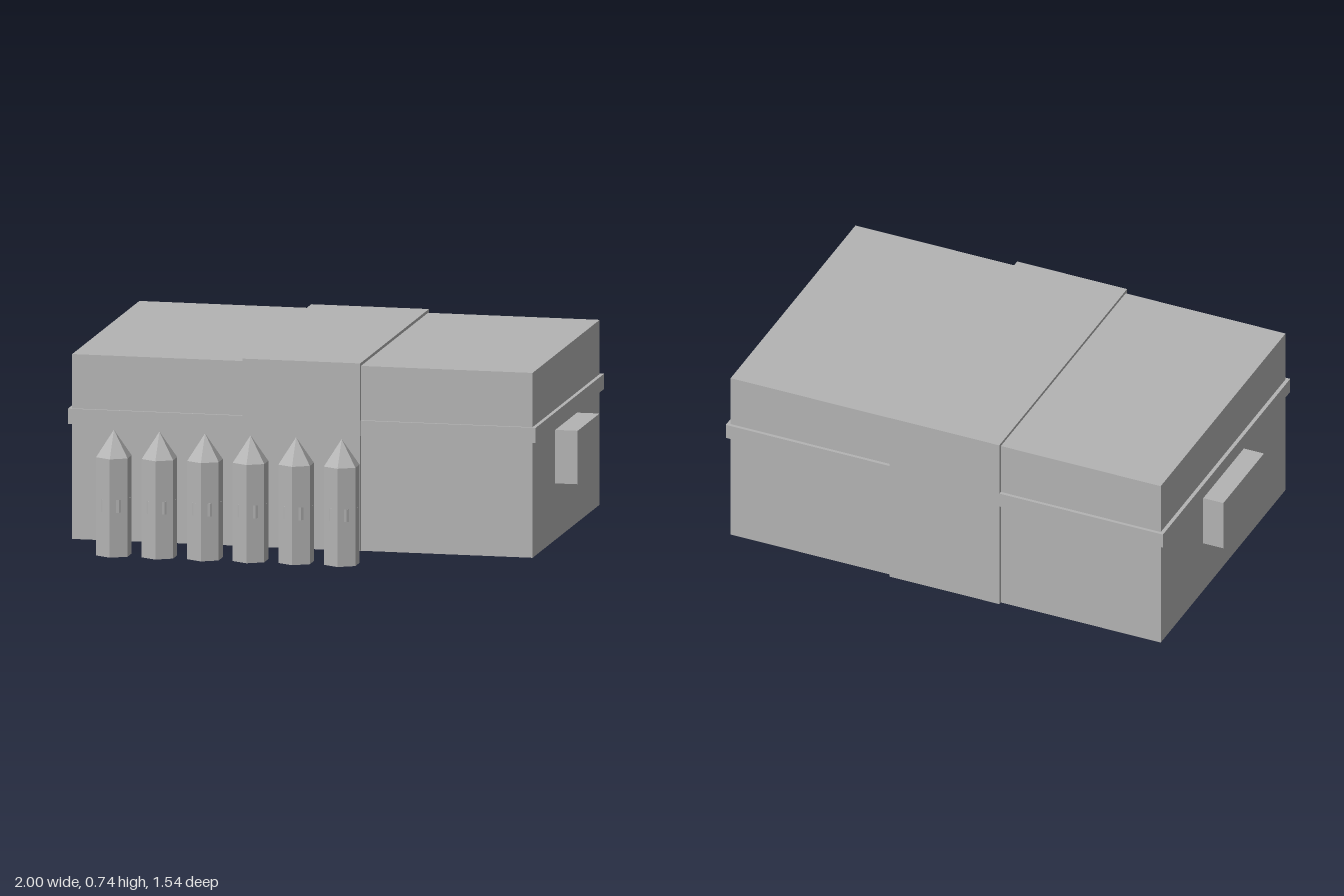
import * as THREE from 'three';

export function createModel() {
  const root = new THREE.Group();
  root.name = 'crate with pointed rods';
  const grey = new THREE.MeshStandardMaterial({ color: 0xb3b3b3, flatShading: true });
  grey.name = 'plain grey';

  function add(parent, name, geometry, x, y, z) {
    const mesh = new THREE.Mesh(geometry, grey);
    mesh.name = name;
    mesh.position.set(x, y, z);
    parent.add(mesh);
    return mesh;
  }
  // Box given by its lowest and highest corners
  function block(parent, name, [x0, y0, z0], [x1, y1, z1]) {
    return add(parent, name, new THREE.BoxGeometry(x1 - x0, y1 - y0, z1 - z0),
      (x0 + x1) / 2, (y0 + y1) / 2, (z0 + z1) / 2);
  }

  // Crate with a rim band and a broad central strap
  const crate = new THREE.Group();
  crate.name = 'crate';
  root.add(crate);
  block(crate, 'crateBody', [-0.913, 0, -0.76], [0.911, 0.726, 0.408]);
  block(crate, 'rimBand', [-0.928, 0.453, -0.773], [0.926, 0.513, 0.419]);
  block(crate, 'centreStrap', [-0.235, 0.001, -0.775], [0.231, 0.738, 0.421]);

  // Side handles
  block(crate, 'rightHandle', [-1, 0.222, -0.366], [-0.9, 0.432, 0.014]);
  block(crate, 'leftHandle', [0.9, 0.222, -0.366], [1, 0.432, 0.014]);

  // Row of hexagonal rods with pointed tips and a thin girdle
  for (let i = 0; i < 6; i++) {
    const rod = new THREE.Group();
    rod.name = 'rod' + (i + 1);
    rod.position.set(-0.682 + i * 0.1805, 0, 0.697);
    root.add(rod);
    add(rod, 'rodBody', new THREE.CylinderGeometry(0.072, 0.072, 0.386, 6), 0, 0.193, 0);
    add(rod, 'rodTip', new THREE.ConeGeometry(0.072, 0.104, 6), 0, 0.438, 0);
    add(rod, 'rodGirdle', new THREE.CylinderGeometry(0.065, 0.065, 0.05, 12), 0, 0.2, 0);
  }
  return root;
}
